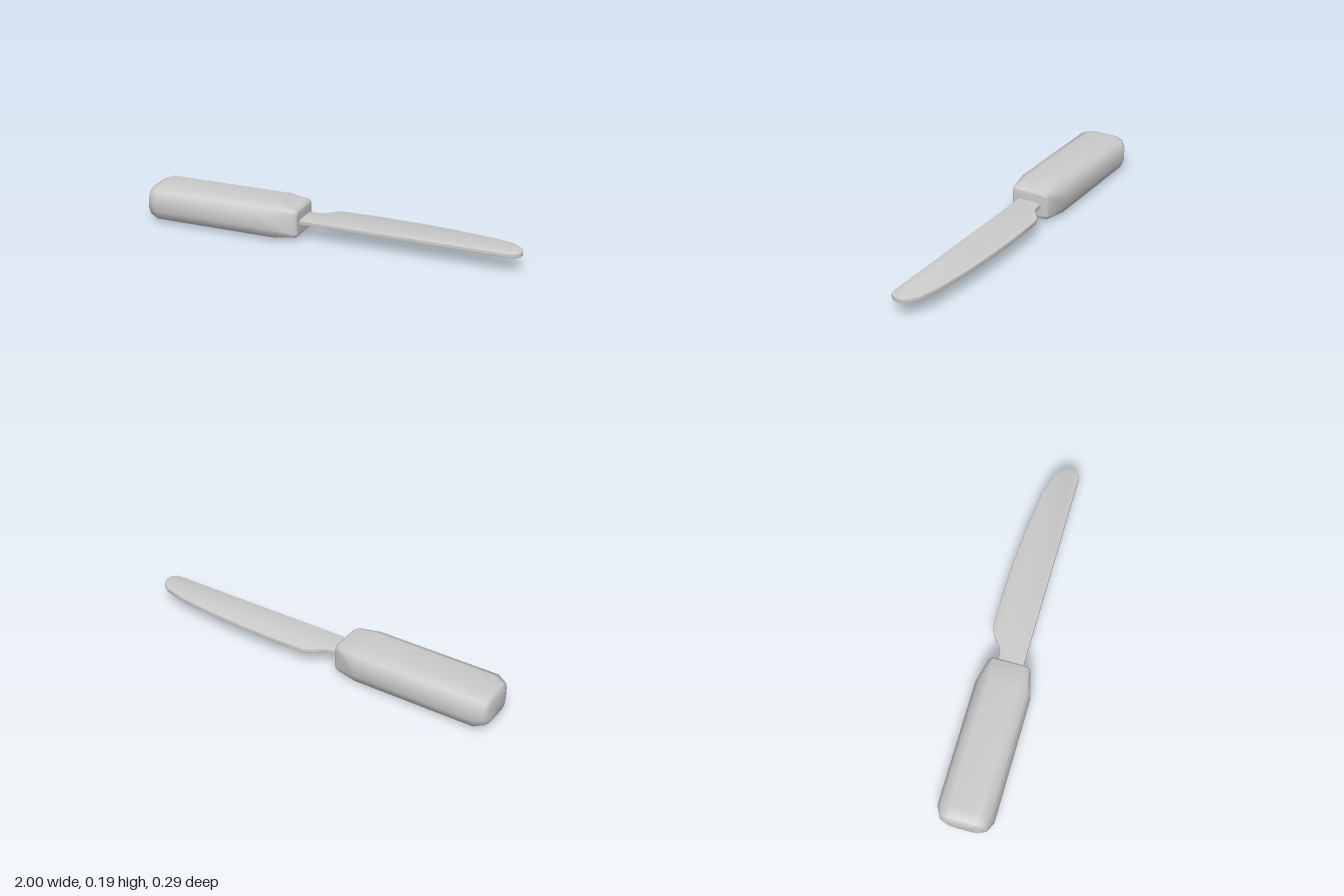
import * as THREE from 'three';
import { toCreasedNormals } from 'three/addons/utils/BufferGeometryUtils.js';

const MID_Y = 0.099;

// Closed loft along x; each section is [x, halfWidth, halfHeight, cornerSize]
function loft(sections) {
  const pos = [], idx = [], n = 12;
  for (const [x, w, h, c] of sections) {
    const q = [[w, h - c], [w - 0.3 * c, h - 0.3 * c], [w - c, h]];
    const back = [...q].reverse();
    const ring = [
      ...q,
      ...back.map(([z, y]) => [-z, y]),
      ...q.map(([z, y]) => [-z, -y]),
      ...back.map(([z, y]) => [z, -y]),
    ];
    for (const [z, y] of ring) pos.push(x, y, z);
  }
  const last = sections.length - 1;
  for (let i = 0; i < last; i++) {
    for (let j = 0; j < n; j++) {
      const a = i * n + j, b = i * n + (j + 1) % n;
      idx.push(a, a + n, b, b, a + n, b + n);
    }
  }
  // End caps
  const c0 = pos.length / 3;
  pos.push(sections[0][0], 0, 0, sections[last][0], 0, 0);
  for (let j = 0; j < n; j++) {
    const k = (j + 1) % n;
    idx.push(c0, j, k, c0 + 1, last * n + k, last * n + j);
  }
  const geo = new THREE.BufferGeometry();
  geo.setAttribute('position', new THREE.Float32BufferAttribute(pos, 3));
  geo.setIndex(idx);
  geo.computeVertexNormals();
  return geo;
}

export function createModel() {
  const group = new THREE.Group();
  group.name = 'tableKnife';
  const material = new THREE.MeshStandardMaterial({ color: 0xcccccc });

  // Chunky handle with rounded butt and tapered front
  const handle = new THREE.Mesh(loft([
    [-1, 0.085, 0.058, 0.035],
    [-0.985, 0.118, 0.078, 0.055],
    [-0.935, 0.142, 0.097, 0.067],
    [-0.28, 0.142, 0.097, 0.067],
    [-0.163, 0.108, 0.077, 0.025],
    [-0.149, 0.1, 0.068, 0.02],
    [-0.145, 0.088, 0.056, 0.015],
  ]), material);
  handle.name = 'handle';
  handle.position.y = MID_Y;
  group.add(handle);

  // Blade outline as [x, z]: straight edge, rounded tip, curved back, notch, tang
  const outline = [
    [-0.2, 0.065], [0.95, 0.065], [0.975, 0.058], [0.993, 0.038], [1, 0.01],
    [0.993, -0.015], [0.972, -0.043], [0.935, -0.07], [0.82, -0.1], [0.6, -0.126],
    [0.4, -0.139], [0.2, -0.143], [0.02, -0.139], [-0.01, -0.128], [-0.05, -0.094],
    [-0.08, -0.075], [-0.11, -0.068], [-0.2, -0.067],
  ];
  const shape = new THREE.Shape(outline.map(([x, z]) => new THREE.Vector2(x, -z)));
  const bevel = 0.008, thickness = 0.028;
  let bladeGeo = new THREE.ExtrudeGeometry(shape, {
    depth: thickness - 2 * bevel,
    bevelEnabled: true,
    bevelThickness: bevel,
    bevelSize: bevel,
    bevelOffset: -bevel,
    bevelSegments: 2,
  });
  bladeGeo.translate(0, 0, -thickness / 2 + bevel);
  bladeGeo.rotateX(-Math.PI / 2);
  bladeGeo = toCreasedNormals(bladeGeo, 0.7);
  const blade = new THREE.Mesh(bladeGeo, material);
  blade.name = 'blade';
  blade.position.y = MID_Y + 0.001;
  group.add(blade);

  return group;
}
